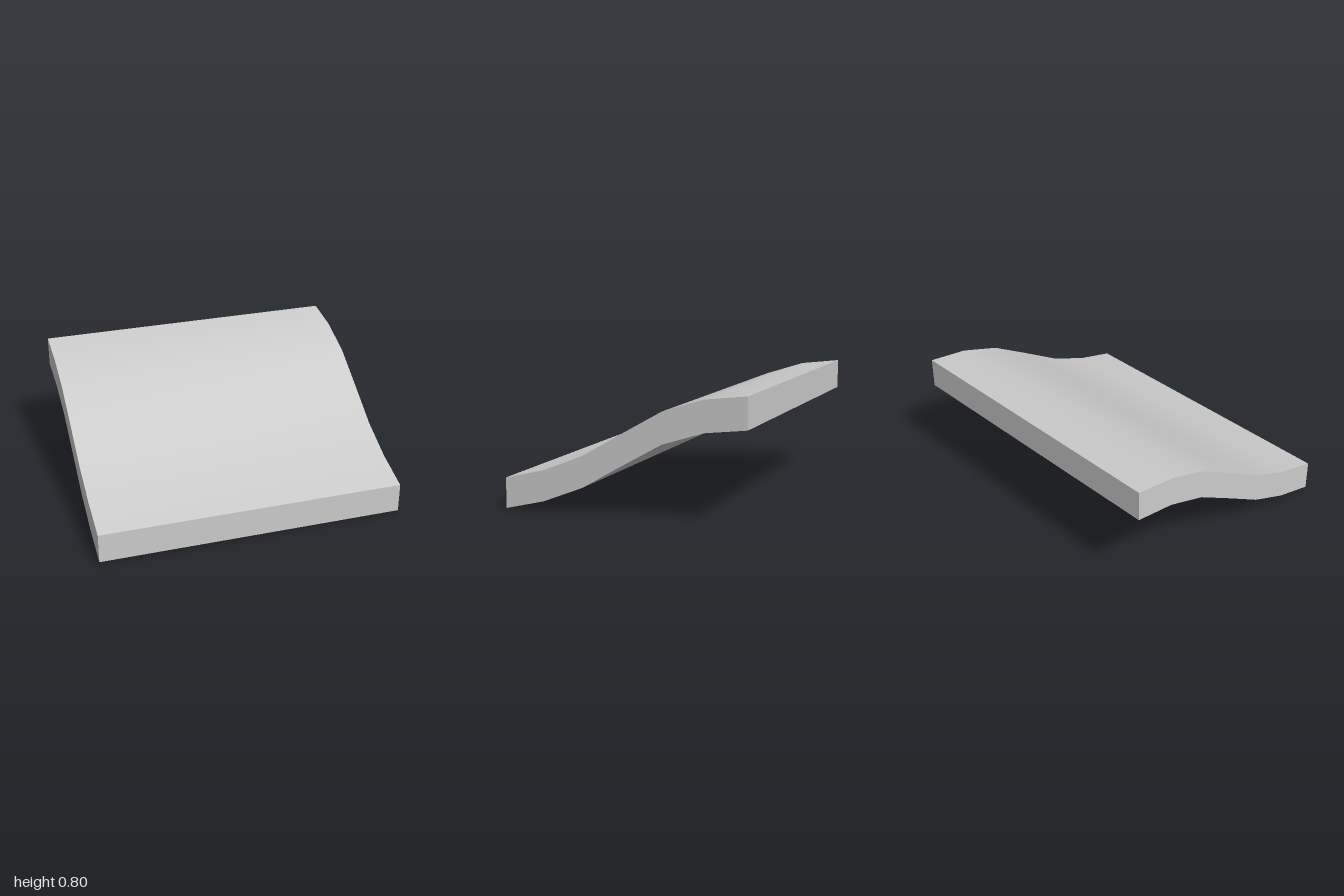
import * as THREE from 'three';

export function createModel() {
  const group = new THREE.Group();
  const depth = 1.6, thickness = 0.197;
  // Underside height at evenly spaced stations, from front to back
  const heights = [0, 0.067, 0.174, 0.33, 0.482, 0.568, 0.601];
  const steps = heights.length - 1;

  // Wavy ramp slab: a box sheared upward station by station
  const geometry = new THREE.BoxGeometry(2, thickness, depth, 1, 1, steps);
  const pos = geometry.attributes.position;
  for (let i = 0; i < pos.count; i++) {
    const station = Math.round((0.5 - pos.getZ(i) / depth) * steps);
    pos.setY(i, pos.getY(i) + thickness / 2 + heights[station]);
  }
  // Box faces keep separate corners, so the curve is smooth and the rims sharp
  geometry.computeVertexNormals();

  const slab = new THREE.Mesh(geometry, new THREE.MeshStandardMaterial({ color: 0xcccccc }));
  slab.name = 'curvedRampSlab';
  group.add(slab);
  return group;
}
